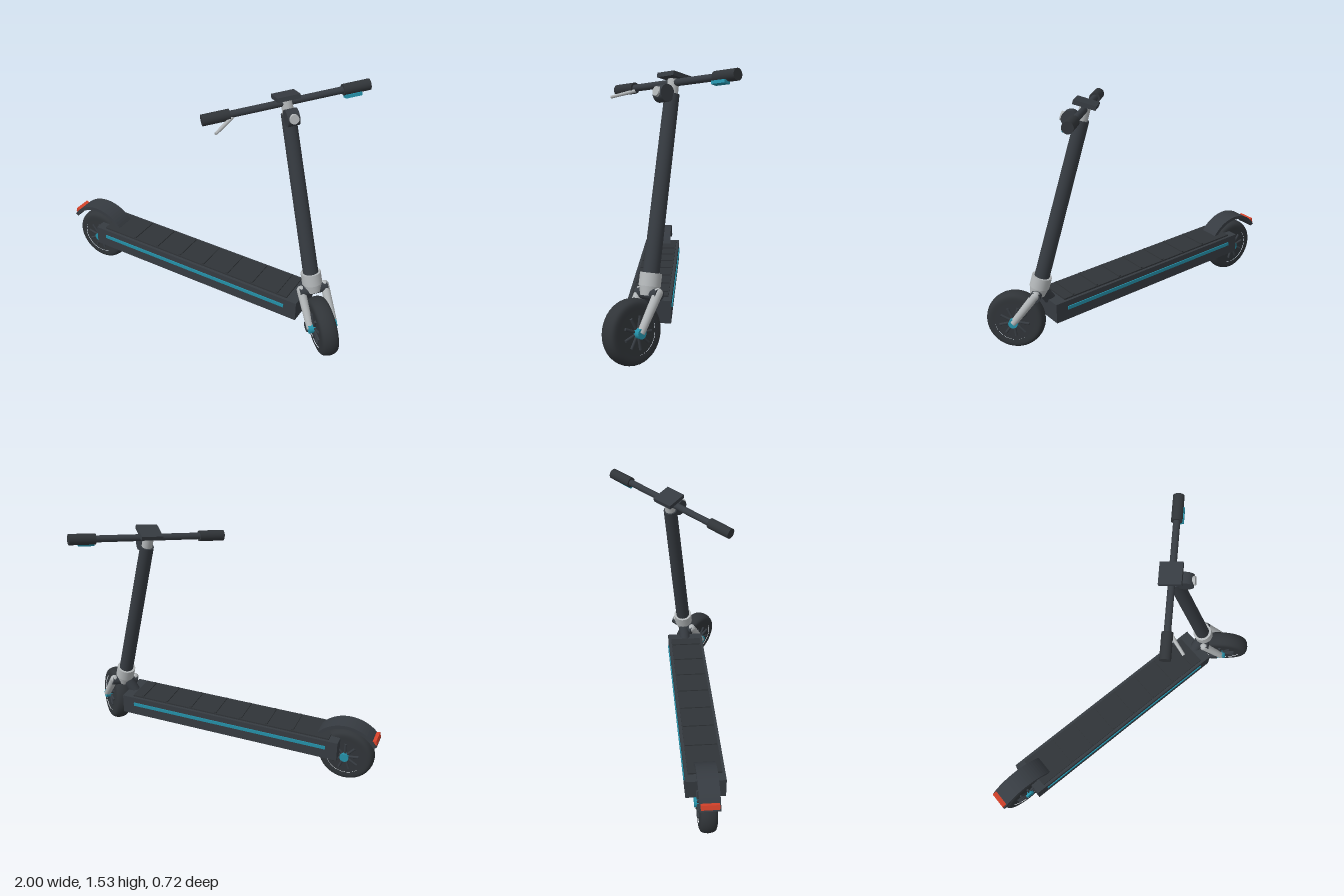
import * as THREE from 'three';

const mat = (name, color) => {
  const m = new THREE.MeshStandardMaterial({ color });
  m.name = name;
  return m;
};

export function createModel() {
  const frame = mat('charcoal frame', 0x363b41);
  const rubber = mat('dark rubber', 0x303438);
  const silver = mat('silver', 0xb2b6b8);
  const teal = mat('teal accent', 0x2490a8);
  const red = mat('tail light red', 0xd8432b);

  const model = new THREE.Group();
  model.name = 'kickScooter';

  const add = (parent, name, geo, material, x = 0, y = 0, z = 0) => {
    const m = new THREE.Mesh(geo, material);
    m.name = name;
    m.position.set(x, y, z);
    parent.add(m);
    return m;
  };
  const box = (parent, name, material, size, pos) =>
    add(parent, name, new THREE.BoxGeometry(...size), material, ...pos);
  // Cylinder running from point a to point b
  const rod = (parent, name, material, a, b, ra, rb = ra, sides = 20) => {
    const p = new THREE.Vector3(...a), q = new THREE.Vector3(...b);
    const d = q.clone().sub(p);
    const m = add(parent, name, new THREE.CylinderGeometry(rb, ra, d.length(), sides), material);
    m.position.copy(p).add(q).multiplyScalar(0.5);
    m.quaternion.setFromUnitVectors(new THREE.Vector3(0, 1, 0), d.normalize());
    return m;
  };

  // Wheel with its axle along local z
  const makeWheel = (name, hubHalf) => {
    const g = new THREE.Group();
    g.name = name;
    const profile = new THREE.SplineCurve([
      [0.118, -0.05], [0.15, -0.049], [0.168, -0.035], [0.176, 0],
      [0.168, 0.035], [0.15, 0.049], [0.118, 0.05],
    ].map(p => new THREE.Vector2(...p))).getPoints(20);
    add(g, 'tyre', new THREE.LatheGeometry(profile, 40), rubber).rotation.x = Math.PI / 2;
    rod(g, 'rim', rubber, [0, 0, -0.046], [0, 0, 0.046], 0.119, 0.119, 40);
    rod(g, 'hub', teal, [0, 0, -hubHalf], [0, 0, hubHalf], 0.028, 0.028, 16);
    for (const s of [-1, 1]) {
      for (let i = 0; i < 9; i++) {
        const a = Math.PI / 2 + i * Math.PI * 2 / 9;
        const c = Math.cos(a), n = Math.sin(a);
        rod(g, 'spoke', frame, [c * 0.025, n * 0.025, s * 0.05], [c * 0.09, n * 0.09, s * 0.05], 0.008, 0.008, 8);
      }
    }
    return g;
  };

  // Deck with grip mat, cross ribs and side stripes
  const zc = 0.117;
  box(model, 'deck', frame, [1.465, 0.125, 0.235], [-0.042, 0.242, zc]);
  box(model, 'deckMat', rubber, [1.335, 0.012, 0.2], [-0.047, 0.308, zc]);
  for (let i = 0; i < 7; i++) {
    box(model, 'matRib', rubber, [0.014, 0.008, 0.19], [-0.48 + i * 0.172, 0.317, zc]);
  }
  for (const s of [-1, 1]) {
    box(model, 'sideStripe', teal, [1.31, 0.022, 0.008], [-0.045, 0.257, zc + s * 0.119]);
  }

  // Rear wheel, fender and tail light
  const rear = makeWheel('rearWheel', 0.07);
  rear.position.set(-0.81, 0.178, zc);
  model.add(rear);
  const arc = new THREE.Shape();
  const a0 = 0.58, a1 = 2.58;
  arc.absarc(0, 0, 0.225, a0, a1, false);
  arc.absarc(0, 0, 0.203, a1, a0, true);
  add(model, 'rearFender', new THREE.ExtrudeGeometry(arc, { depth: 0.12, bevelEnabled: false, curveSegments: 12 }),
    frame, -0.81, 0.178, zc - 0.06);
  box(model, 'tailLight', red, [0.024, 0.03, 0.105], [-0.986, 0.322, zc]).rotation.z = -0.25;

  // Neck between deck and steering head
  rod(model, 'neck', frame, [0.65, 0.27, zc], [0.72, 0.38, 0.112], 0.035);

  // Turned steering assembly: local x forward, y along the stem, z along the bar
  const steering = new THREE.Group();
  steering.name = 'steering';
  const up = new THREE.Vector3(-0.258, 0.9605, -0.105).normalize();
  const bar = new THREE.Vector3(-0.703, -0.111, 0.703);
  bar.addScaledVector(up, -bar.dot(up)).normalize();
  const fwd = new THREE.Vector3().crossVectors(up, bar);
  steering.quaternion.setFromRotationMatrix(new THREE.Matrix4().makeBasis(fwd, up, bar));
  steering.position.set(0.7226, 0.42, 0.109);
  model.add(steering);

  // Stem, collar and head
  rod(steering, 'stem', frame, [0, 0, 0], [0, 1.01, 0], 0.045, 0.041, 28);
  rod(steering, 'collar', silver, [0, -0.025, 0], [0, 0.045, 0], 0.059, 0.059, 28);
  rod(steering, 'lowerCollar', silver, [0, -0.075, 0], [0, -0.025, 0], 0.045, 0.055, 28);
  rod(steering, 'stemHead', silver, [0, 1.0, 0], [0, 1.09, 0], 0.032);

  // Fork and front wheel
  const ax = 0.086, ay = -0.268;
  rod(steering, 'forkCrown', frame, [0, -0.065, -0.085], [0, -0.065, 0.085], 0.032);
  for (const s of [-1, 1]) {
    rod(steering, 'forkLeg', silver, [0, -0.055, s * 0.072], [ax, ay, s * 0.072], 0.026, 0.021);
    add(steering, 'forkLegTop', new THREE.SphereGeometry(0.026, 16, 10), silver, 0, -0.055, s * 0.072);
  }
  const front = makeWheel('frontWheel', 0.085);
  front.position.set(ax, ay, 0);
  steering.add(front);
  rod(steering, 'brakeCaliper', frame, [0.03, -0.285, 0.045], [0.03, -0.285, 0.085], 0.03);

  // Handlebar with grips
  const hy = 1.072;
  rod(steering, 'handlebar', frame, [0, hy, -0.46], [0, hy, 0.46], 0.02);
  for (const s of [-1, 1]) {
    rod(steering, 'grip', rubber, [0, hy, s * 0.32], [0, hy, s * 0.475], 0.032, 0.032, 24);
  }
  box(steering, 'display', frame, [0.13, 0.025, 0.13], [0, hy + 0.034, 0]);
  rod(steering, 'brakeLever', silver, [0.005, hy - 0.018, 0.31], [0.085, hy - 0.064, 0.425], 0.011, 0.009, 12);
  box(steering, 'throttle', teal, [0.04, 0.018, 0.095], [0.012, hy - 0.035, -0.37]);

  // Headlight
  rod(steering, 'headlight', frame, [0.062, 1.0, -0.034], [0.062, 1.0, 0.034], 0.048, 0.048, 28);
  rod(steering, 'headlightLens', silver, [0.09, 1.0, 0], [0.118, 1.0, 0], 0.03, 0.026);

  return model;
}
